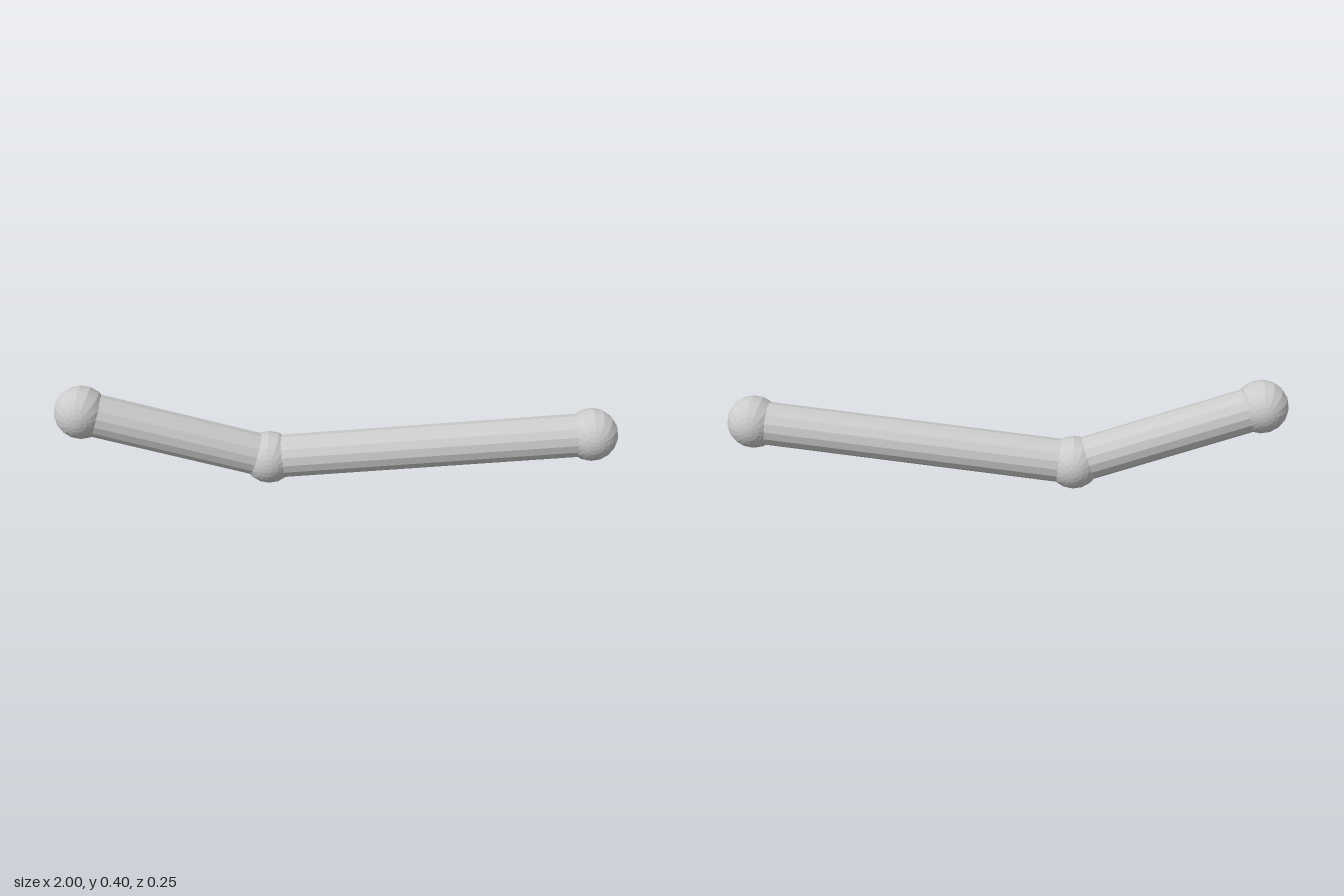
import * as THREE from 'three';

export function createModel() {
  const group = new THREE.Group();
  const material = new THREE.MeshStandardMaterial({ color: 0xcccccc, flatShading: true });

  // Joint centres along the bent arm
  const joints = {
    rightEndBall: new THREE.Vector3(-0.905, 0.306, 0.033),
    elbowBall: new THREE.Vector3(-0.25, 0.097, -0.032),
    leftEndBall: new THREE.Vector3(0.905, 0.212, -0.011),
  };

  // Ball joints, poles along z
  const ball = new THREE.SphereGeometry(0.095, 16, 16).rotateX(Math.PI / 2);
  for (const [name, centre] of Object.entries(joints)) {
    const mesh = new THREE.Mesh(ball, material);
    mesh.name = name;
    mesh.position.copy(centre);
    group.add(mesh);
  }

  // Straight rod joining two ball centres
  function addRod(name, from, to) {
    const direction = to.clone().sub(from);
    const mesh = new THREE.Mesh(new THREE.CylinderGeometry(0.078, 0.078, direction.length(), 16), material);
    mesh.name = name;
    mesh.position.copy(from).lerp(to, 0.5);
    mesh.quaternion.setFromUnitVectors(new THREE.Vector3(0, 1, 0), direction.normalize());
    group.add(mesh);
  }
  addRod('shortRod', joints.elbowBall, joints.rightEndBall);
  addRod('longRod', joints.elbowBall, joints.leftEndBall);

  return group;
}
